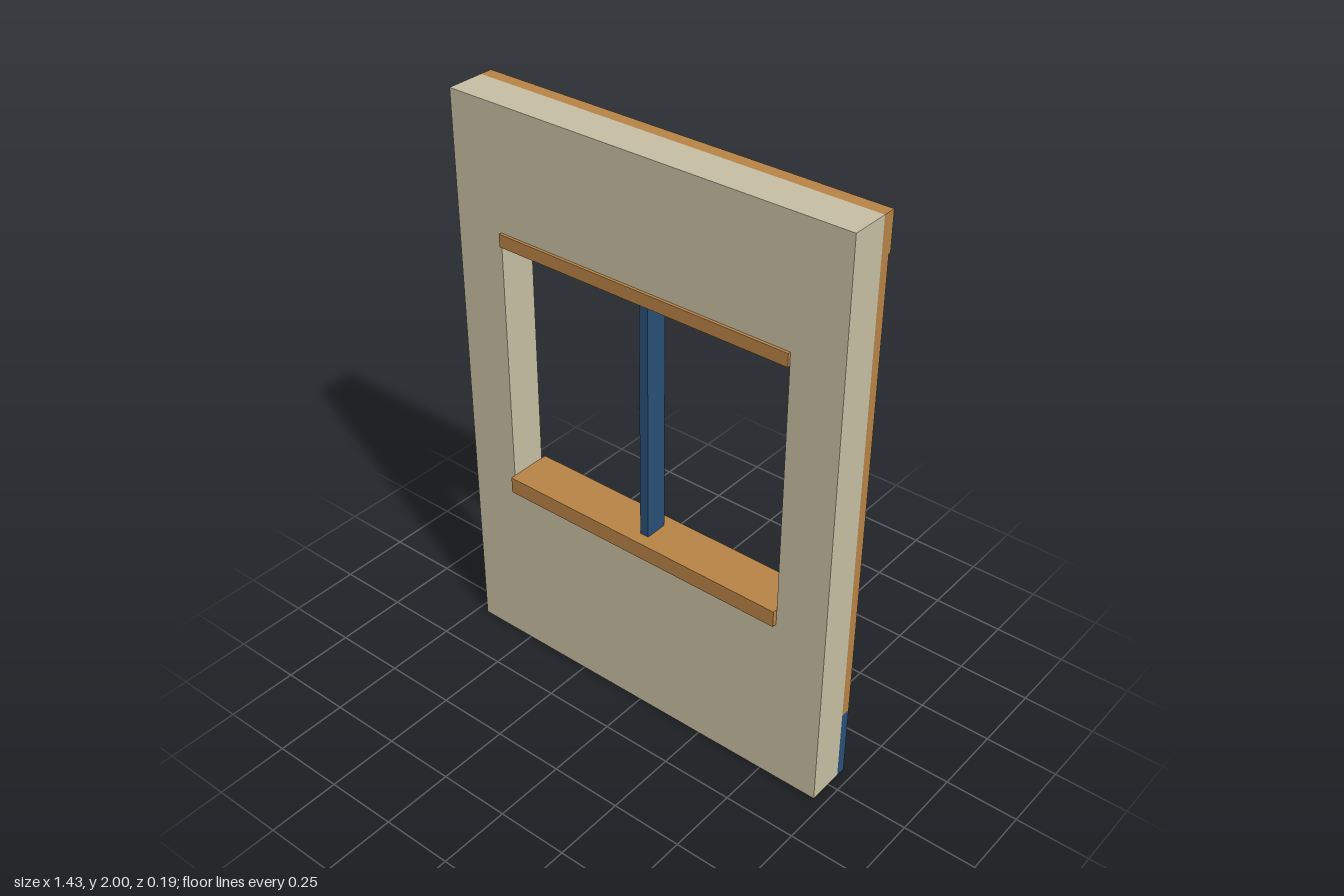
import * as THREE from 'three';

const material = (color) => new THREE.MeshStandardMaterial({ color });

export function createModel() {
  const group = new THREE.Group();
  const plaster = material(0xc8c0a4);
  const timber = material(0xb98446);
  const blue = material(0x2a5178);

  // Box given by its extents along each axis
  const addBox = (name, mat, [x0, x1], [y0, y1], [z0, z1]) => {
    const mesh = new THREE.Mesh(new THREE.BoxGeometry(x1 - x0, y1 - y0, z1 - z0), mat);
    mesh.position.set((x0 + x1) / 2, (y0 + y1) / 2, (z0 + z1) / 2);
    mesh.name = name;
    group.add(mesh);
  };

  const W = 0.713;              // half width of the wall
  const H = 0.535;              // half width of the opening
  const back = -0.051, front = 0.079;

  // Wall panel with the window opening
  const outline = new THREE.Shape();
  outline.moveTo(-W, 0).lineTo(W, 0).lineTo(W, 2).lineTo(-W, 2).closePath();
  const opening = new THREE.Path();
  opening.moveTo(-H, 0.625).lineTo(-H, 1.583).lineTo(H, 1.583).lineTo(H, 0.625).closePath();
  outline.holes.push(opening);
  const wall = new THREE.Mesh(
    new THREE.ExtrudeGeometry(outline, { depth: front - back, bevelEnabled: false }), plaster);
  wall.position.z = back;
  wall.name = 'wall';
  group.add(wall);

  // Window: sill and lintel project from both wall faces
  addBox('windowSill', timber, [-H, H], [0.625, 0.683], [-0.068, 0.096]);
  addBox('windowLintel', timber, [-H, H], [1.539, 1.583], [-0.061, 0.089]);
  addBox('windowMullion', blue, [-0.016, 0.016], [0.683, 1.539], [-0.026, 0.054]);

  // Framing on the back of the wall
  addBox('topBeam', timber, [-W, W], [1.873, 2], [-0.094, back]);
  addBox('baseBoard', blue, [-W, W], [0, 0.26], [-0.086, back]);
  for (const [name, x] of [['leftPost', W - 0.068], ['rightPost', -W]]) {
    addBox(name, timber, [x, x + 0.068], [0.26, 1.873], [-0.086, back]);
  }

  return group;
}
